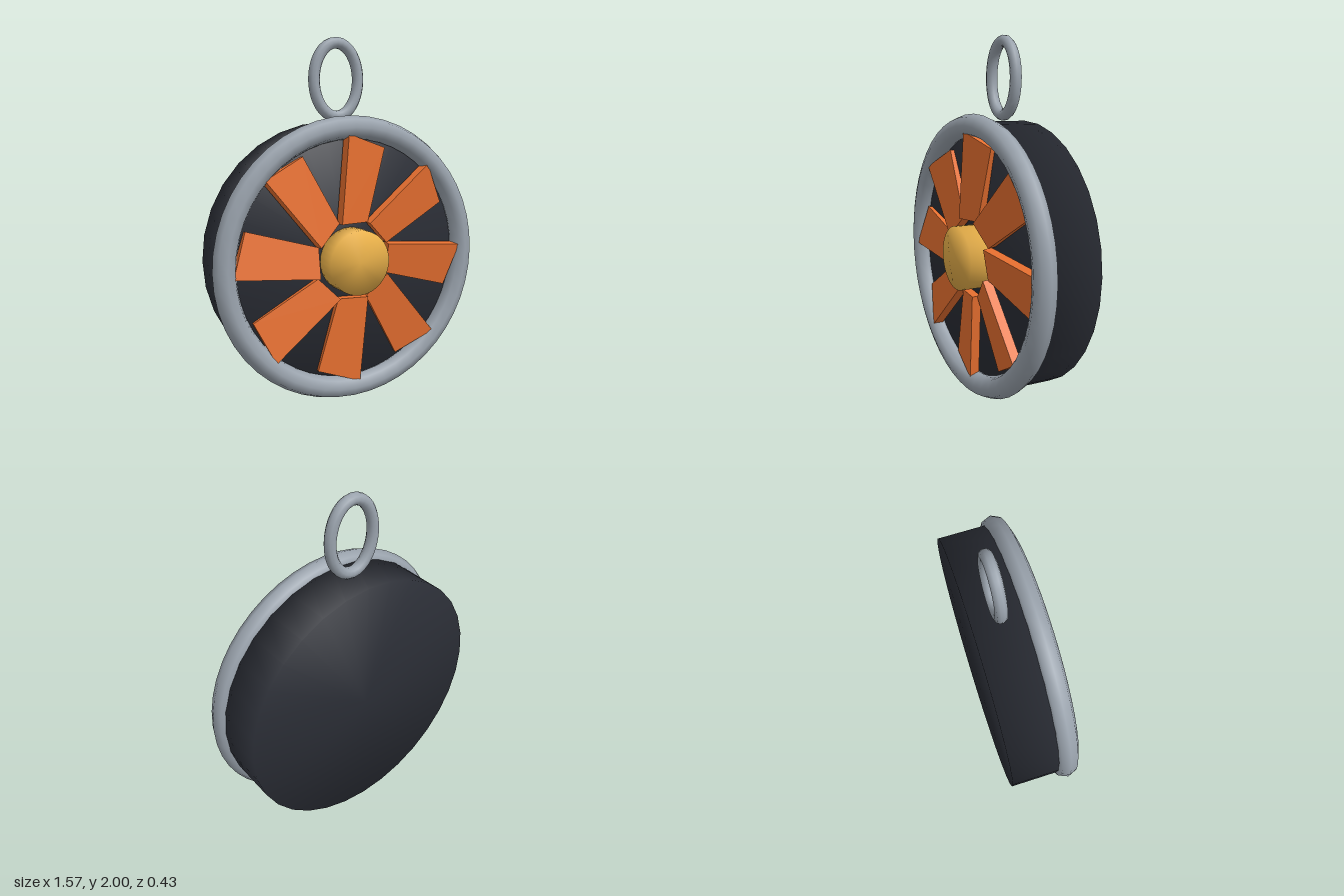
import * as THREE from 'three';
import { mergeVertices } from 'three/addons/utils/BufferGeometryUtils.js';

const CENTER_Y = 0.79;

// Weld a geometry so its shading runs smoothly over the rims
function softened(geometry) {
  geometry.deleteAttribute('normal');
  geometry.deleteAttribute('uv');
  const welded = mergeVertices(geometry, 1e-4);
  welded.computeVertexNormals();
  return welded;
}

// Cylinder lying along z between two depths
function disc(radius, back, front, sides) {
  const g = new THREE.CylinderGeometry(radius, radius, front - back, sides);
  g.rotateX(Math.PI / 2).translate(0, 0, (front + back) / 2);
  return softened(g);
}

export function createModel() {
  const model = new THREE.Group();
  model.name = 'fanPendant';
  const body = new THREE.Group();
  body.name = 'fanBody';
  body.position.y = CENTER_Y;
  model.add(body);

  const steel = new THREE.MeshStandardMaterial({ color: 0x9aa3ad });
  const dark = new THREE.MeshStandardMaterial({ color: 0x2a2d35 });
  const orange = new THREE.MeshStandardMaterial({ color: 0xe87030 });
  const gold = new THREE.MeshStandardMaterial({ color: 0xe8b04a });

  function add(parent, name, geometry, material) {
    const mesh = new THREE.Mesh(geometry, material);
    mesh.name = name;
    parent.add(mesh);
    return mesh;
  }

  // Drum, front rim and hub
  add(body, 'drum', disc(0.745, -0.215, 0.085, 32), dark);
  add(body, 'rim', new THREE.TorusGeometry(0.724, 0.063, 8, 48), steel).position.z = 0.105;
  add(body, 'hub', disc(0.178, 0.06, 0.215, 32), gold);

  // Eight swept, pitched blades
  const outline = new THREE.Shape([
    new THREE.Vector2(-0.085, 0.207),
    new THREE.Vector2(0.087, 0.207),
    new THREE.Vector2(0.203, 0.61),
    new THREE.Vector2(-0.04, 0.69),
  ]);
  const bladeGeometry = new THREE.ExtrudeGeometry(outline, { depth: 0.05, bevelEnabled: false });
  bladeGeometry.translate(0, 0, -0.025).rotateY(0.17).translate(0, 0, 0.12);
  const blades = new THREE.Group();
  blades.name = 'blades';
  body.add(blades);
  for (let i = 0; i < 8; i++) {
    add(blades, 'blade' + (i + 1), bladeGeometry, orange).rotation.z = (i * Math.PI) / 4;
  }

  // Oval hanging loop with a round section
  const points = [];
  for (let i = 0; i < 24; i++) {
    const a = (i / 24) * Math.PI * 2;
    points.push(new THREE.Vector3(0.134 * Math.cos(a), 0.2 * Math.sin(a), 0));
  }
  const oval = new THREE.CatmullRomCurve3(points, true);
  add(model, 'hangingLoop', new THREE.TubeGeometry(oval, 36, 0.032, 10, true), steel)
    .position.set(0, 1.768, -0.078);

  return model;
}
